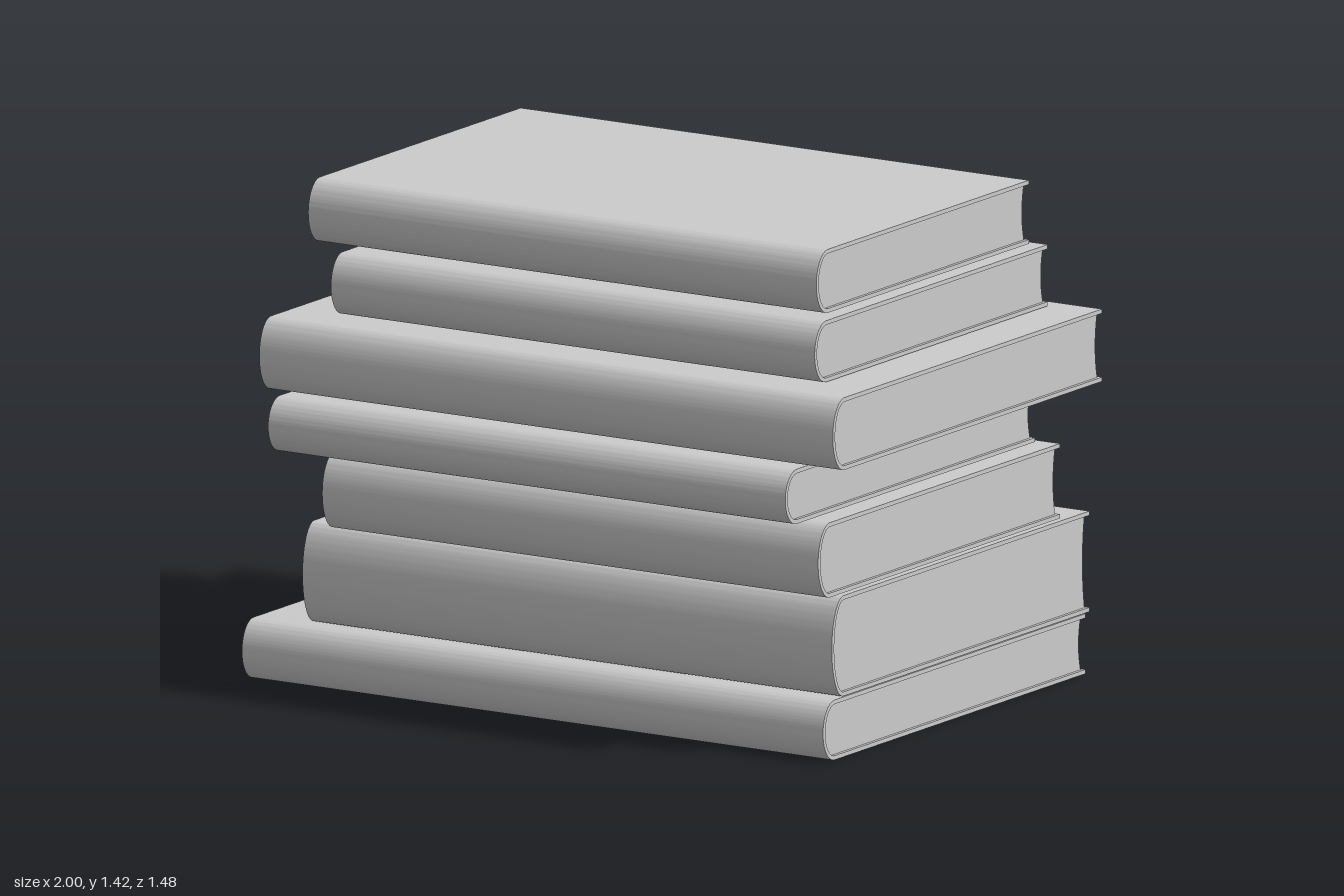
import * as THREE from 'three';
import { toCreasedNormals } from 'three/addons/utils/BufferGeometryUtils.js';

const material = new THREE.MeshStandardMaterial({ color: 0xcccccc });
const BOARD = 0.012; // cover thickness
const BULGE = 0.06; // depth of the rounded spine
const INSET = 0.01; // how far the pages sit inside the cover

// Books from bottom to top: x range, y range, spine z, fore-edge z
const BOOKS = [
  [-1.0, 0.91, 0.0, 0.17, 0.62, -0.72],
  [-0.83, 0.91, 0.172, 0.457, 0.575, -0.74],
  [-0.72, 0.91, 0.465, 0.677, 0.645, -0.59],
  [-0.84, 0.86, 0.685, 0.84, 0.735, -0.54],
  [-0.885, 1.0, 0.85, 1.055, 0.71, -0.665],
  [-0.73, 0.86, 1.058, 1.232, 0.585, -0.605],
  [-0.84, 0.83, 1.24, 1.42, 0.53, -0.555],
];

// Extrudes a (z, y) profile along x, centred on x = 0
function extrudeAlongX(shape, width, name) {
  const geometry = new THREE.ExtrudeGeometry(shape, { depth: width, bevelEnabled: false, curveSegments: 28 });
  geometry.translate(0, 0, -width / 2);
  geometry.rotateY(-Math.PI / 2);
  const mesh = new THREE.Mesh(toCreasedNormals(geometry, 0.6), material);
  mesh.name = name;
  return mesh;
}

function createBook([x0, x1, y0, y1, spine, back]) {
  const book = new THREE.Group();
  const half = (y1 - y0) / 2;
  const inner = half - BOARD;
  const hinge = spine - BULGE;
  const innerBulge = BULGE - BOARD;
  const width = x1 - x0;

  // Cover: two boards joined by a rounded spine
  const cover = new THREE.Shape();
  cover.moveTo(back, -half);
  cover.lineTo(hinge, -half);
  cover.absellipse(hinge, 0, BULGE, half, -Math.PI / 2, Math.PI / 2, false);
  cover.lineTo(back, half);
  cover.lineTo(back, inner);
  cover.lineTo(hinge, inner);
  cover.absellipse(hinge, 0, innerBulge, inner, Math.PI / 2, -Math.PI / 2, true);
  cover.lineTo(back, -inner);
  cover.closePath();

  // Pages: rounded at the spine, hollowed at the fore-edge
  const edge = back + INSET;
  const pages = new THREE.Shape();
  pages.moveTo(edge, -inner);
  pages.lineTo(hinge, -inner);
  pages.absellipse(hinge, 0, innerBulge, inner, -Math.PI / 2, Math.PI / 2, false);
  pages.lineTo(edge, inner);
  pages.quadraticCurveTo(edge + 0.02, 0, edge, -inner);

  book.add(extrudeAlongX(cover, width, 'cover'));
  book.add(extrudeAlongX(pages, width - 2 * INSET, 'pages'));
  book.position.set((x0 + x1) / 2, (y0 + y1) / 2, 0);
  return book;
}

export function createModel() {
  const stack = new THREE.Group();
  stack.name = 'bookStack';
  BOOKS.forEach((spec, i) => {
    const book = createBook(spec);
    book.name = `book${i + 1}`;
    stack.add(book);
  });
  return stack;
}
